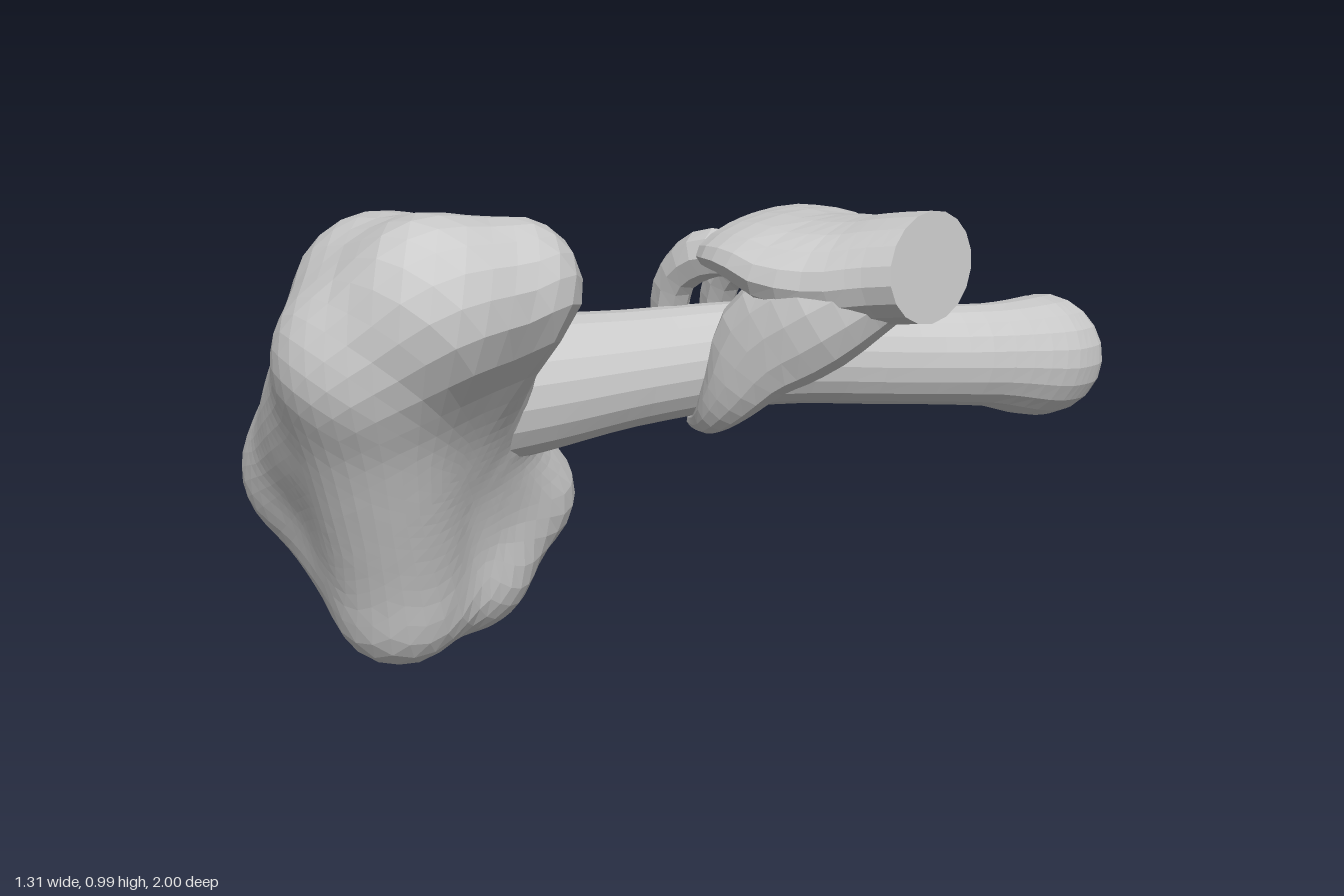
import * as THREE from 'three';

const material = new THREE.MeshStandardMaterial({ color: 0xcccccc, flatShading: true });

function addMesh(group, name, geometry) {
  const mesh = new THREE.Mesh(geometry, material);
  mesh.name = name;
  group.add(mesh);
}

// Loft of elliptical rings. Section: [x, y, z, radius along ref, radius across]
function loft(sections, ref, rings, sides) {
  const path = new THREE.CatmullRomCurve3(sections.map(s => new THREE.Vector3(s[0], s[1], s[2])));
  const radii = new THREE.CatmullRomCurve3(sections.map(s => new THREE.Vector3(s[3], s[4] ?? s[3], 0)));
  const pos = [], index = [];
  for (let i = 0; i <= rings; i++) {
    const c = path.getPoint(i / rings), r = radii.getPoint(i / rings), t = path.getTangent(i / rings);
    const u = ref.clone().addScaledVector(t, -ref.dot(t)).normalize();
    const v = t.clone().cross(u);
    for (let j = 0; j < sides; j++) {
      const a = (j / sides) * Math.PI * 2;
      const p = c.clone().addScaledVector(u, r.x * Math.cos(a)).addScaledVector(v, r.y * Math.sin(a));
      pos.push(p.x, p.y, p.z);
      if (i < rings) {
        const k = i * sides + j, n = i * sides + (j + 1) % sides;
        index.push(k, n, k + sides, n, n + sides, k + sides);
      }
    }
  }
  const first = pos.length / 3, last = rings * sides;
  pos.push(...path.getPoint(0).toArray(), ...path.getPoint(1).toArray());
  for (let j = 0; j < sides; j++) {
    const n = (j + 1) % sides;
    index.push(first, n, j, first + 1, last + j, last + n);
  }
  const g = new THREE.BufferGeometry();
  g.setAttribute('position', new THREE.Float32BufferAttribute(pos, 3));
  g.setIndex(index);
  g.computeVertexNormals();
  return g;
}

// Lobes of the club head: [x, y, z, radius], joined in threes by soft thick plates
const lobes = [
  [-0.475, 0.37, 0.54, 0.17],   // 0 outer lower corner
  [-0.31, 0.32, 0.355, 0.16],   // 1 rear lower
  [-0.155, 0.145, 0.695, 0.135],// 2 bottom front
  [-0.165, 0.25, 0.34, 0.14],   // 3 bottom rear
  [0.1, 0.83, 0.615, 0.135],    // 4 upper hook
  [0.04, 0.825, 0.765, 0.165],  // 5 upper front
  [-0.08, 0.71, 0.82, 0.17],    // 6 brow
  [-0.155, 0.78, 0.70, 0.16],   // 7 upper outer
  [-0.2, 0.53, 0.64, 0.22],     // 8 core
  [-0.02, 0.55, 0.33, 0.12],    // 9 neck
  [-0.16, 0.145, 0.5, 0.135],   // 10 underside
  [-0.43, 0.34, 0.63, 0.16],    // 11 outer front
  [-0.1, 0.57, 0.52, 0.165],    // 12 neck root
];
const plates = [[0, 1, 10], [1, 3, 10], [0, 11, 10], [11, 2, 10], [6, 2, 11], [6, 11, 7], [7, 11, 0],
  [7, 0, 8], [0, 1, 8], [1, 3, 8], [3, 10, 8], [2, 10, 8], [6, 2, 8], [5, 6, 8], [4, 5, 8],
  [4, 7, 8], [4, 5, 7], [5, 6, 7], [8, 9, 12]].map(ids => ({
  triangle: new THREE.Triangle(...ids.map(i => new THREE.Vector3(...lobes[i]))),
  radii: new THREE.Vector3(...ids.map(i => lobes[i][3])),
}));

const near = new THREE.Vector3(), weights = new THREE.Vector3();
function headField(p) {
  const k = 0.018;
  let sum = 0;
  for (const { triangle, radii } of plates) {
    triangle.closestPointToPoint(p, near);
    triangle.getBarycoord(near, weights);
    sum += Math.exp((weights.dot(radii) - near.distanceTo(p)) / k);
  }
  return -k * Math.log(sum) + 0.02;
}

// Sphere shrunk onto the blended lobes
function headGeometry() {
  const g = new THREE.IcosahedronGeometry(1, 12);
  const centre = new THREE.Vector3(-0.2, 0.47, 0.57), pos = g.attributes.position;
  const dir = new THREE.Vector3(), p = new THREE.Vector3();
  for (let i = 0; i < pos.count; i++) {
    dir.fromBufferAttribute(pos, i).normalize();
    let r = 0.8;
    for (let s = 0; s < 40; s++) {
      const d = headField(p.copy(centre).addScaledVector(dir, r));
      if (d < 0.0005) break;
      r -= d * 0.85;
    }
    p.copy(centre).addScaledVector(dir, r);
    pos.setXYZ(i, p.x, p.y, p.z);
  }
  g.computeVertexNormals();
  return g;
}

export function createModel() {
  const model = new THREE.Group();
  const Y = new THREE.Vector3(0, 1, 0), Z = new THREE.Vector3(0, 0, 1);

  // Club: lumpy head and a shaft ending in a round knob
  const club = new THREE.Group();
  club.name = 'club';
  model.add(club);
  addMesh(club, 'clubHead', headGeometry());
  addMesh(club, 'clubShaft', loft([
    [-0.14, 0.55, 0.6, 0.16, 0.15], [-0.04, 0.545, 0.4, 0.144, 0.14], [0.052, 0.54, 0.2, 0.124, 0.126],
    [0.19, 0.52, -0.1, 0.115, 0.108], [0.355, 0.465, -0.4, 0.113, 0.1], [0.455, 0.425, -0.62, 0.12, 0.112],
    [0.492, 0.38, -0.8, 0.144, 0.138], [0.492, 0.364, -0.88, 0.146, 0.142],
    [0.482, 0.362, -0.96, 0.105], [0.472, 0.362, -0.996, 0.03],
  ], Y, 36, 20));

  // Hand gripping the shaft, cut off at the wrist
  const hand = new THREE.Group();
  hand.name = 'hand';
  model.add(hand);
  addMesh(hand, 'palm', loft([
    [0.633, 0.81, -0.035, 0.16, 0.11], [0.56, 0.795, -0.035, 0.168, 0.11], [0.47, 0.775, -0.035, 0.188, 0.108],
    [0.37, 0.775, -0.045, 0.222, 0.095], [0.27, 0.79, -0.07, 0.222, 0.073], [0.18, 0.785, -0.09, 0.195, 0.053],
    [0.13, 0.76, -0.09, 0.175, 0.03],
  ], Z, 14, 18));
  // Broad web narrowing into the thumb
  addMesh(hand, 'thumb', loft([
    [0.55, 0.785, 0.0, 0.1, 0.09], [0.44, 0.71, 0.075, 0.092, 0.12], [0.34, 0.63, 0.12, 0.062, 0.115],
    [0.275, 0.525, 0.135, 0.045, 0.072], [0.215, 0.45, 0.12, 0.037, 0.042],
    [0.165, 0.415, 0.08, 0.033, 0.027], [0.125, 0.4, 0.055, 0.025, 0.017], [0.11, 0.396, 0.05, 0.008],
  ], Z, 20, 12));

  // Four fingers: shaft centre x, depth z, thickness, reach past the shaft centre
  const fingers = [[0.13, 0.05, 0.046, 0.09], [0.185, -0.095, 0.044, 0.122],
    [0.235, -0.2, 0.043, 0.122], [0.285, -0.305, 0.04, 0.11]];
  fingers.forEach(([x, z, r, reach], i) => {
    const y = 0.53 - i * 0.017;
    addMesh(hand, 'finger' + (i + 1), loft([
      [x + 0.1, y + 0.25, z * 0.8 - 0.01, r], [x + 0.01, y + 0.24, z * 0.88, r * 1.15],
      [x - reach * 0.7, y + 0.18, z * 0.96, r], [x - reach, y + 0.09, z - 0.01, r * 0.9],
      [x - reach, y + 0.04, z - 0.015, r * 0.8], [x - reach * 0.95, y, z - 0.02, r * 0.6],
      [x - reach * 0.9, y - 0.015, z - 0.02, r * 0.2],
    ], Z, 16, 8));
  });
  return model;
}
